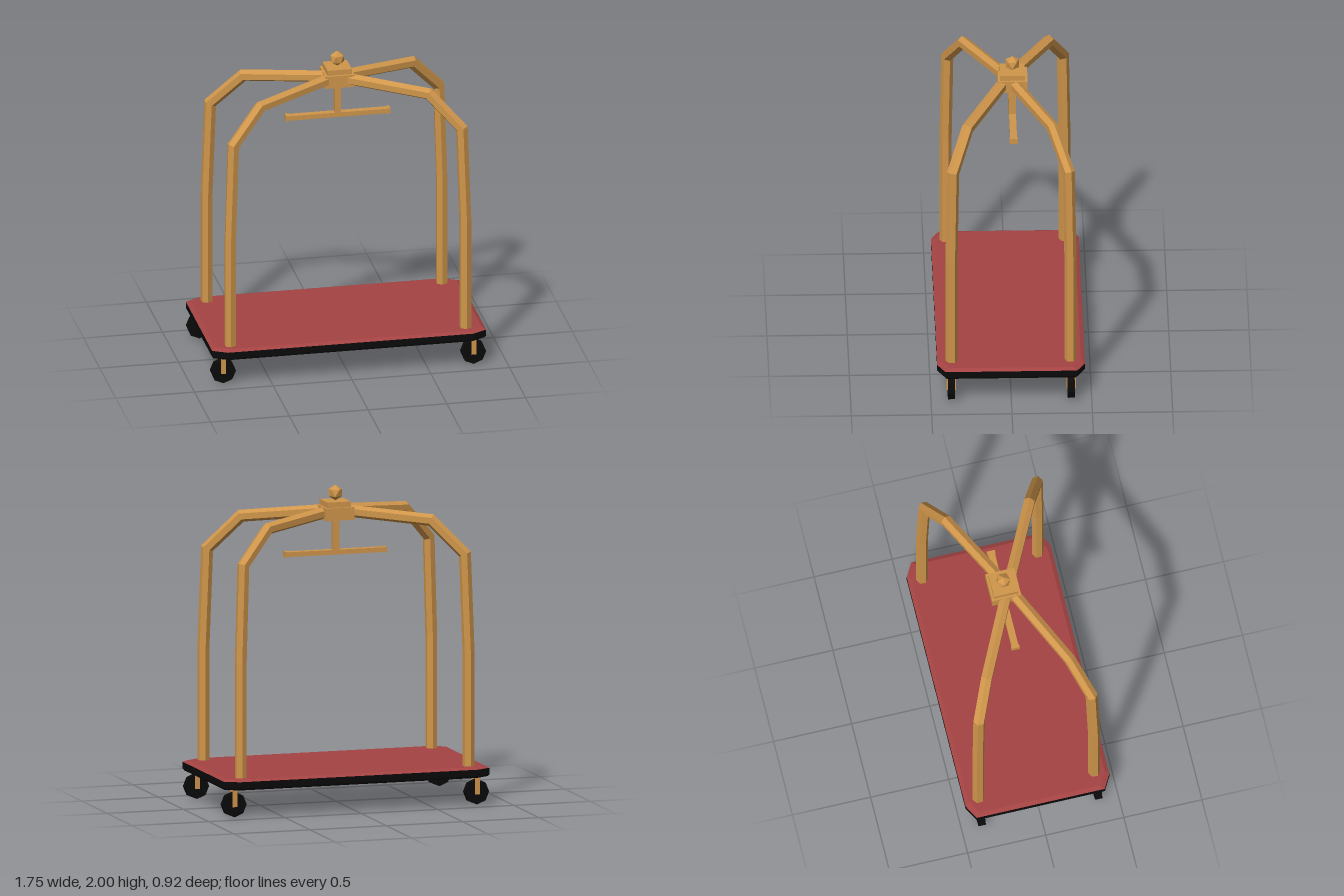
import * as THREE from 'three';

const material = (name, color) => {
  const m = new THREE.MeshStandardMaterial({ color });
  m.name = name;
  return m;
};

// Joins rings of points into a closed, faceted solid with end caps
function loft(rings) {
  const pos = [];
  const tri = (...points) => points.forEach((p) => pos.push(p.x, p.y, p.z));
  const n = rings[0].length;
  for (let i = 0; i < rings.length - 1; i++) {
    for (let k = 0; k < n; k++) {
      const a = rings[i][k], b = rings[i][(k + 1) % n];
      const c = rings[i + 1][(k + 1) % n], d = rings[i + 1][k];
      tri(a, b, c);
      tri(a, c, d);
    }
  }
  const first = rings[0], last = rings[rings.length - 1];
  for (let k = 1; k < n - 1; k++) {
    tri(first[0], first[k + 1], first[k]);
    tri(last[0], last[k], last[k + 1]);
  }
  const g = new THREE.BufferGeometry();
  g.setAttribute('position', new THREE.Float32BufferAttribute(pos, 3));
  g.computeVertexNormals();
  return g;
}

// Rectangle outline with cut corners at a given height
function deckRing(y, inset) {
  const x = 0.87 - inset, z = 0.46 - inset, cx = x - 0.09, cz = z - 0.05;
  return [[cx, z], [x, cz], [x, -cz], [cx, -z], [-cx, -z], [-x, -cz], [-x, cz], [-cx, z]]
    .map(([px, pz]) => new THREE.Vector3(px, y, pz));
}

// Hexagonal bent post: follows (distance from centre, height) in a diagonal plane
function postGeometry(sx, sz) {
  const path = [[0.833, 0.235], [0.833, 0.96], [0.81, 1.577], [0.597, 1.786], [0, 1.84]]
    .map((p) => new THREE.Vector2(...p));
  const u = new THREE.Vector3(0.746 * sx, 0, 0.37 * sz).normalize();
  const side = new THREE.Vector3(u.z, 0, -u.x);
  const radius = 0.038;
  const rings = path.map((p, i) => {
    const before = p.clone().sub(path[Math.max(i - 1, 0)]).normalize();
    const after = path[Math.min(i + 1, path.length - 1)].clone().sub(p).normalize();
    const t = before.clone().add(after).normalize();
    const miter = 1 / t.dot(i === 0 ? after : before);
    const normal = u.clone().multiplyScalar(-t.y);
    normal.y = t.x;
    return Array.from({ length: 6 }, (_, k) => {
      const a = (k + 0.5) * Math.PI / 3;
      return u.clone().multiplyScalar(p.x).add(new THREE.Vector3(0, p.y, 0))
        .addScaledVector(side, Math.cos(a) * radius)
        .addScaledVector(normal, Math.sin(a) * radius * miter);
    });
  });
  return loft(rings);
}

export function createModel() {
  const brass = material('brass', 0xd0964b);
  const carpet = material('red carpet', 0xa54343);
  const rubber = material('black rubber', 0x0a0a0a);
  for (const m of [brass, carpet, rubber]) m.flatShading = true;

  const model = new THREE.Group();
  model.name = 'luggageCart';
  const add = (name, geometry, mat, x = 0, y = 0, z = 0, parent = model) => {
    const mesh = new THREE.Mesh(geometry, mat);
    mesh.name = name;
    mesh.position.set(x, y, z);
    parent.add(mesh);
    return mesh;
  };
  const box = (name, w, h, d, mat, x, y, z, parent) =>
    add(name, new THREE.BoxGeometry(w, h, d), mat, x, y, z, parent);

  // Deck with a bevelled carpet on top
  add('deckBumper', loft([deckRing(0.177, 0.008), deckRing(0.19, 0), deckRing(0.23, 0)]), rubber);
  add('deckCarpet', loft([deckRing(0.23, 0), deckRing(0.243, 0.025)]), carpet);

  // Posts and casters at the four corners
  const wheelGeometry = new THREE.CylinderGeometry(0.079, 0.079, 0.043, 8).rotateX(Math.PI / 2);
  for (const sx of [-1, 1]) {
    for (const sz of [-1, 1]) {
      add('post', postGeometry(sx, sz), brass);
      const caster = new THREE.Group();
      caster.name = 'caster';
      caster.position.set(0.794 * sx, 0, 0.373 * sz);
      add('wheel', wheelGeometry, rubber, 0, 0.079, 0, caster);
      for (const s of [-1, 1]) box('forkPlate', 0.03, 0.115, 0.008, brass, 0, 0.1225, 0.0255 * s, caster);
      model.add(caster);
    }
  }

  // Hub where the posts meet, topped by a finial
  const hx = 0.013, hz = -0.027;
  box('hub', 0.186, 0.08, 0.186, brass, hx, 1.828, hz);
  box('hubCap', 0.155, 0.034, 0.155, brass, hx, 1.885, hz);
  const finial = add('finial', new THREE.IcosahedronGeometry(0.049, 0), brass, hx, 1.951, hz);
  finial.rotation.z = Math.atan(2 / (1 + Math.sqrt(5)));

  // Hanging T-shaped rail with end stops
  box('hangerPost', 0.038, 0.21, 0.046, brass, hx, 1.69, hz);
  box('hangerRail', 0.63, 0.03, 0.043, brass, hx + 0.002, 1.578, hz);
  for (const s of [-1, 1]) box('railStop', 0.018, 0.036, 0.052, brass, hx + 0.002 + 0.322 * s, 1.578, hz);

  return model;
}
